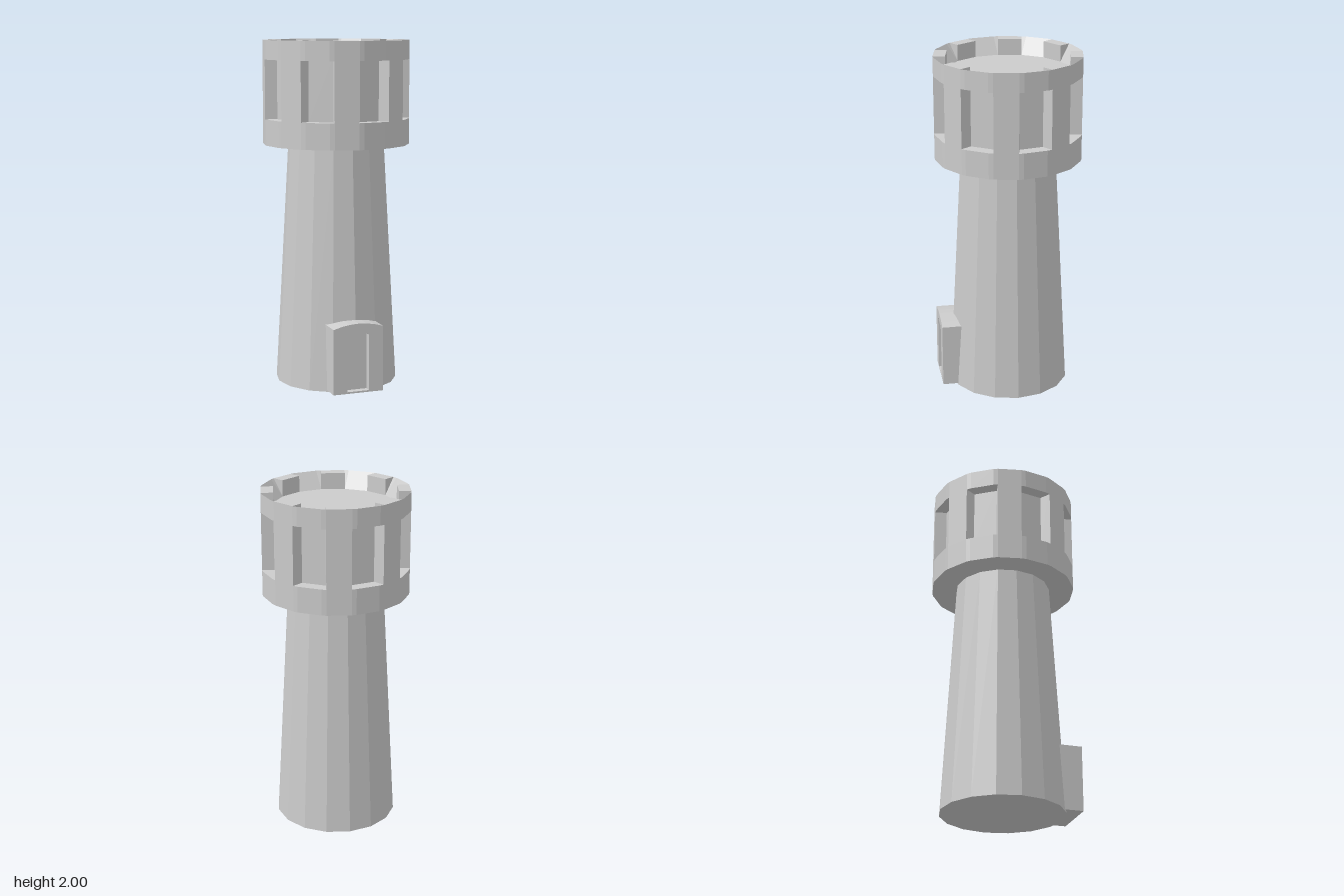
import * as THREE from 'three';

const SIDES = 16, STEP = (Math.PI * 2) / SIDES;
const R = 0.357;        // base radius, also the crown's core
const DEPTH = 0.07;     // how far the crown stands out from its core
const CROWN_Y = 1.4, SILL_Y = 1.55, LINTEL_Y = 1.89, FLOOR_Y = 1.905, TOP_Y = 2;

const material = new THREE.MeshStandardMaterial({ color: 0xcccccc, flatShading: true });

function add(parent, name, geometry) {
  const mesh = new THREE.Mesh(geometry, material);
  mesh.name = name;
  parent.add(mesh);
  return mesh;
}

// Corner i of the core, pushed out along the normal of face f by d: [x, z]
function corner(i, f = 0, d = 0) {
  const a = i * STEP, n = (f + 0.5) * STEP;
  return [R * Math.sin(a) + d * Math.sin(n), R * Math.cos(a) + d * Math.cos(n)];
}

// Upright 16-sided drum between two heights
function drum(rTop, rBottom, y0, y1) {
  return new THREE.CylinderGeometry(rTop, rBottom, y1 - y0, SIDES).translate(0, (y0 + y1) / 2, 0);
}

// Wedge above one niche: flat underside, upright front, top sloping in to the floor
function lintelGeometry() {
  const inner = [corner(0), corner(0), corner(1), corner(1)];
  const outer = [corner(0, -1, DEPTH), corner(0, 0, DEPTH), corner(1, 0, DEPTH), corner(1, 1, DEPTH)];
  const at = ([x, z], y) => [x, y, z];
  const pos = [];
  const tri = (a, b, c) => pos.push(...a, ...b, ...c);
  const quad = (a, b, c, d) => { tri(a, b, c); tri(a, c, d); };
  for (let i = 0; i < 3; i++) {
    const o0 = outer[i], o1 = outer[i + 1], n0 = inner[i], n1 = inner[i + 1];
    quad(at(o0, LINTEL_Y), at(o1, LINTEL_Y), at(o1, TOP_Y), at(o0, TOP_Y));
    tri(at(o0, TOP_Y), at(o1, TOP_Y), at(n0, FLOOR_Y));
    tri(at(o0, LINTEL_Y), at(n0, LINTEL_Y), at(o1, LINTEL_Y));
    if (i === 1) {
      tri(at(o1, TOP_Y), at(n1, FLOOR_Y), at(n0, FLOOR_Y));
      tri(at(o1, LINTEL_Y), at(n0, LINTEL_Y), at(n1, LINTEL_Y));
    }
  }
  const g = new THREE.BufferGeometry();
  g.setAttribute('position', new THREE.Float32BufferAttribute(pos, 3));
  g.computeVertexNormals();
  return g;
}

function createCrown() {
  const crown = new THREE.Group();
  crown.name = 'crown';

  // Solid ring under the niches: every core face pushed straight out
  const outline = [];
  for (let f = 0; f < SIDES; f++) {
    for (const i of [f, f + 1]) {
      const [x, z] = corner(i, f, DEPTH);
      outline.push(new THREE.Vector2(x, -z));
    }
  }
  const ring = new THREE.ExtrudeGeometry(new THREE.Shape(outline), {
    depth: SILL_Y - CROWN_Y, bevelEnabled: false,
  }).rotateX(-Math.PI / 2).translate(0, CROWN_Y, 0);
  add(crown, 'crownBase', ring);

  // Niche backs and the roof floor
  add(crown, 'crownCore', drum(R, R, SILL_Y, FLOOR_Y));

  // Alternating piers and niche lintels
  const width = 2 * R * Math.sin(STEP / 2), apothem = R * Math.cos(STEP / 2);
  const height = TOP_Y - SILL_Y;
  const pier = new THREE.BoxGeometry(width, height, DEPTH)
    .translate(0, SILL_Y + height / 2, apothem + DEPTH / 2);
  const lintel = lintelGeometry();
  for (let k = 0; k < SIDES / 2; k++) {
    add(crown, 'pier', pier).rotation.y = (2 * k - 0.5) * STEP;
    add(crown, 'nicheLintel', lintel).rotation.y = 2 * k * STEP;
  }
  return crown;
}

function createDoorway() {
  const doorway = new THREE.Group();
  doorway.name = 'doorway';
  const archShape = () => {
    const s = new THREE.Shape();
    s.moveTo(-0.15, 0.01);
    s.lineTo(0.15, 0.01);
    s.lineTo(0.15, 0.39);
    s.quadraticCurveTo(0, 0.44, -0.15, 0.39);
    s.closePath();
    return s;
  };
  const extrude = (shape, z0, z1) => new THREE.ExtrudeGeometry(shape, {
    depth: z1 - z0, bevelEnabled: false, curveSegments: 6,
  }).translate(-0.015, 0, z0);

  // Porch block, then a frame around the recessed door panel
  add(doorway, 'porch', extrude(archShape(), 0.25, 0.38));
  const frame = archShape();
  frame.holes.push(new THREE.Path([
    [-0.065, 0.02], [-0.065, 0.345], [-0.055, 0.355], [0.055, 0.355], [0.065, 0.345], [0.065, 0.02],
  ].map(([x, y]) => new THREE.Vector2(x, y))));
  add(doorway, 'doorFrame', extrude(frame, 0.38, 0.42));
  return doorway;
}

export function createModel() {
  const tower = new THREE.Group();
  tower.name = 'tower';
  add(tower, 'shaft', drum(0.28, R, 0, CROWN_Y));
  tower.add(createCrown(), createDoorway());
  return tower;
}
